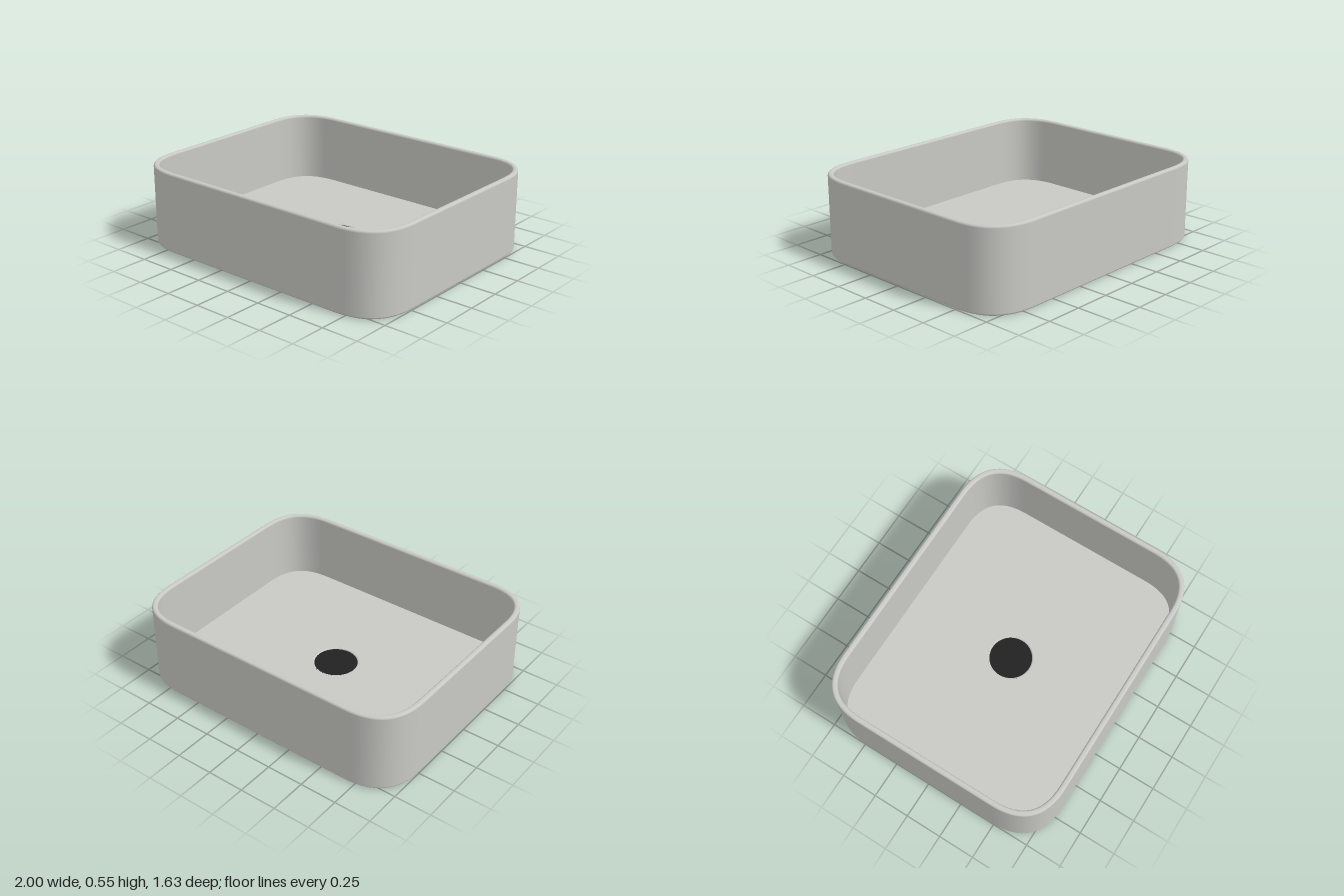
import * as THREE from 'three';

const W = 1, D = 0.815, H = 0.545;      // half width, half depth, height
const CORNER = 0.33, STEPS = 16;        // soft corner size and divisions
const WALL = 0.038, FLOOR = 0.075, ROUND = 0.015;
const HOLE = 0.143, LIP = 0.01;

// Outline of the basin seen from above: points with outward normals
function outline() {
  const ring = [];
  const signs = [[1, 1], [-1, 1], [-1, -1], [1, -1]];
  signs.forEach(([sx, sy], q) => {
    const a = new THREE.Vector2(sx * W, sy * (D - CORNER));
    const b = new THREE.Vector2(sx * (W - CORNER), sy * D);
    const c = new THREE.Vector2(sx * W, sy * D);
    const curve = q % 2 ? new THREE.QuadraticBezierCurve(b, c, a) : new THREE.QuadraticBezierCurve(a, c, b);
    for (let i = 0; i <= STEPS; i++) {
      const t = curve.getTangent(i / STEPS);
      ring.push({ p: curve.getPoint(i / STEPS), n: new THREE.Vector2(t.y, -t.x) });
    }
  });
  return ring;
}

// Quarter round of profile points: inset, height, outward normal, upward normal
function quarter(inset, y, from, to, r = ROUND) {
  return Array.from({ length: 6 }, (_, i) => {
    const a = from + (to - from) * i / 5;
    return [inset - r * Math.cos(a), y + r * Math.sin(a), Math.cos(a), Math.sin(a)];
  });
}

// Sweep the wall profile around the outline
function sweep(ring, profile) {
  const pos = [], nor = [], idx = [], n = ring.length;
  profile.forEach(([inset, y, out, up]) => ring.forEach(({ p, n: d }) => {
    pos.push(p.x - d.x * inset, y, -(p.y - d.y * inset));
    nor.push(d.x * out, up, -d.y * out);
  }));
  for (let j = 0; j < profile.length - 1; j++) {
    for (let i = 0; i < n; i++) {
      const a = j * n + i, b = j * n + (i + 1) % n;
      idx.push(a, b, b + n, a, b + n, a + n);
    }
  }
  const g = new THREE.BufferGeometry();
  g.setAttribute('position', new THREE.Float32BufferAttribute(pos, 3));
  g.setAttribute('normal', new THREE.Float32BufferAttribute(nor, 3));
  g.setIndex(idx);
  return g;
}

// Flat panel inside the outline, with the drain hole cut out
function panel(ring, inset, hole) {
  const shape = new THREE.Shape(ring.map(({ p, n }) => p.clone().addScaledVector(n, -inset)));
  shape.holes.push(new THREE.Path().absarc(0, 0, hole, 0, Math.PI * 2, true));
  return new THREE.ShapeGeometry(shape, 48);
}

export function createModel() {
  const model = new THREE.Group();
  model.name = 'basin';
  const ceramic = new THREE.MeshStandardMaterial({ color: 0xc8c8c4 });
  ceramic.name = 'ceramic grey';
  const black = new THREE.MeshStandardMaterial({ color: 0x222222 });
  black.name = 'drain black';
  const add = (name, geometry, material) => {
    const mesh = new THREE.Mesh(geometry, material);
    mesh.name = name;
    model.add(mesh);
    return mesh;
  };
  const ring = outline();

  // Walls with rounded foot and rim
  add('walls', sweep(ring, [
    ...quarter(ROUND, ROUND, -Math.PI / 2, 0),
    ...quarter(ROUND, H - ROUND, 0, Math.PI / 2),
    ...quarter(WALL - ROUND, H - ROUND, Math.PI / 2, Math.PI),
    [WALL, FLOOR, -1, 0],
  ]), ceramic);

  // Floor, seen from inside and from below
  add('floor', panel(ring, WALL, HOLE + LIP).rotateX(-Math.PI / 2), ceramic).position.y = FLOOR;
  add('underside', panel(ring, ROUND, HOLE + LIP).rotateX(Math.PI / 2), ceramic);

  // Drain hole wall with softened lips
  const lip = [
    ...quarter(0, LIP, -Math.PI / 2, 0, LIP),
    ...quarter(0, FLOOR - LIP, 0, Math.PI / 2, LIP),
  ].map(([, y, c]) => new THREE.Vector2(HOLE + LIP * (1 - c), y));
  add('drainHole', new THREE.LatheGeometry(lip.reverse(), 48), ceramic);

  // Dark drain plug
  add('drain', new THREE.CylinderGeometry(HOLE, HOLE, 0.034, 48), black).position.y = 0.052;
  return model;
}
